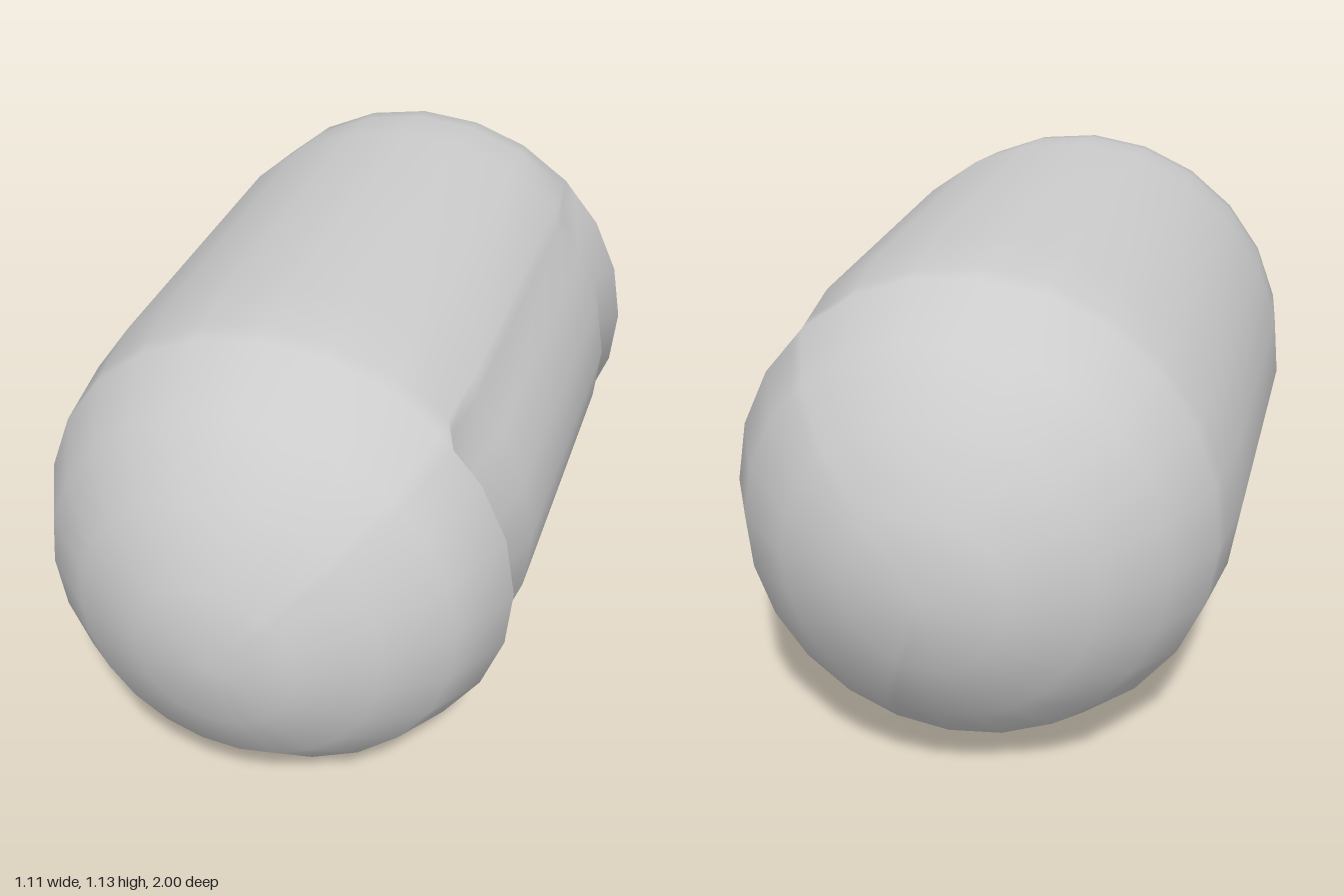
import * as THREE from 'three';
import { mergeVertices } from 'three/addons/utils/BufferGeometryUtils.js';

const SIDES = 24, STEP = 360 / SIDES, TURN = 2.2;   // facets around the body, in degrees
const RIM = [TURN - 5 * STEP, TURN + 3 * STEP];     // angular limits of the recessed panel
const FLOOR = [-68.5, 42.5];                        // angular limits of the panel floor
const CENTRE = { x: 0.008, y: 0.566 };

// Half profile of the capsule: z, outer radius, recess floor radius (if any)
const half = [
  [1.0, 0], [0.97, 0.175], [0.89, 0.335], [0.77, 0.46], [0.61, 0.541],
  [0.56, 0.547, 0.497], [0.41, 0.565, 0.534],
];
const rings = [...half, ...half.slice().reverse().map(([z, ...r]) => [-z, ...r])];

// Columns around the body, with two extra ones at the foot of the recess walls
const columns = [...FLOOR];
for (let i = 0; i < SIDES; i++) columns.push(RIM[0] + i * STEP);
columns.sort((a, b) => a - b);

// Keeps the extra columns on the flat facets of the regular polygon
function facetScale(angle) {
  const within = (((angle - TURN) % STEP) + STEP) % STEP - STEP / 2;
  return Math.cos(THREE.MathUtils.degToRad(STEP / 2)) / Math.cos(THREE.MathUtils.degToRad(within));
}

function capsuleWithRecess() {
  const positions = [], index = [], n = columns.length;
  rings.forEach(([z, outer, floor], i) => {
    columns.forEach((angle, j) => {
      const sunk = floor !== undefined && angle >= FLOOR[0] && angle <= FLOOR[1];
      const r = sunk ? floor : outer * facetScale(angle);
      const t = THREE.MathUtils.degToRad(angle);
      positions.push(CENTRE.x + r * Math.cos(t), CENTRE.y + r * Math.sin(t), z);
      if (i === rings.length - 1) return;
      const k = (j + 1) % n;
      const a = i * n + j, b = a + n, c = (i + 1) * n + k, d = i * n + k;
      if (i < rings.length - 2) index.push(a, b, c);
      else index.push(a, b, d);                       // closing fan at the back pole
      if (i > 0 && i < rings.length - 2) index.push(a, c, d);
    });
  });
  let geometry = new THREE.BufferGeometry();
  geometry.setAttribute('position', new THREE.Float32BufferAttribute(positions, 3));
  geometry.setIndex(index);
  geometry = mergeVertices(geometry, 1e-5);
  geometry.computeVertexNormals();
  return geometry;
}

export function createModel() {
  const group = new THREE.Group();
  group.name = 'capsule';
  // Rounded body with a shallow panel sunk into its left side
  const body = new THREE.Mesh(capsuleWithRecess(), new THREE.MeshStandardMaterial({ color: 0xcccccc }));
  body.name = 'bodyWithRecessedPanel';
  group.add(body);
  return group;
}
